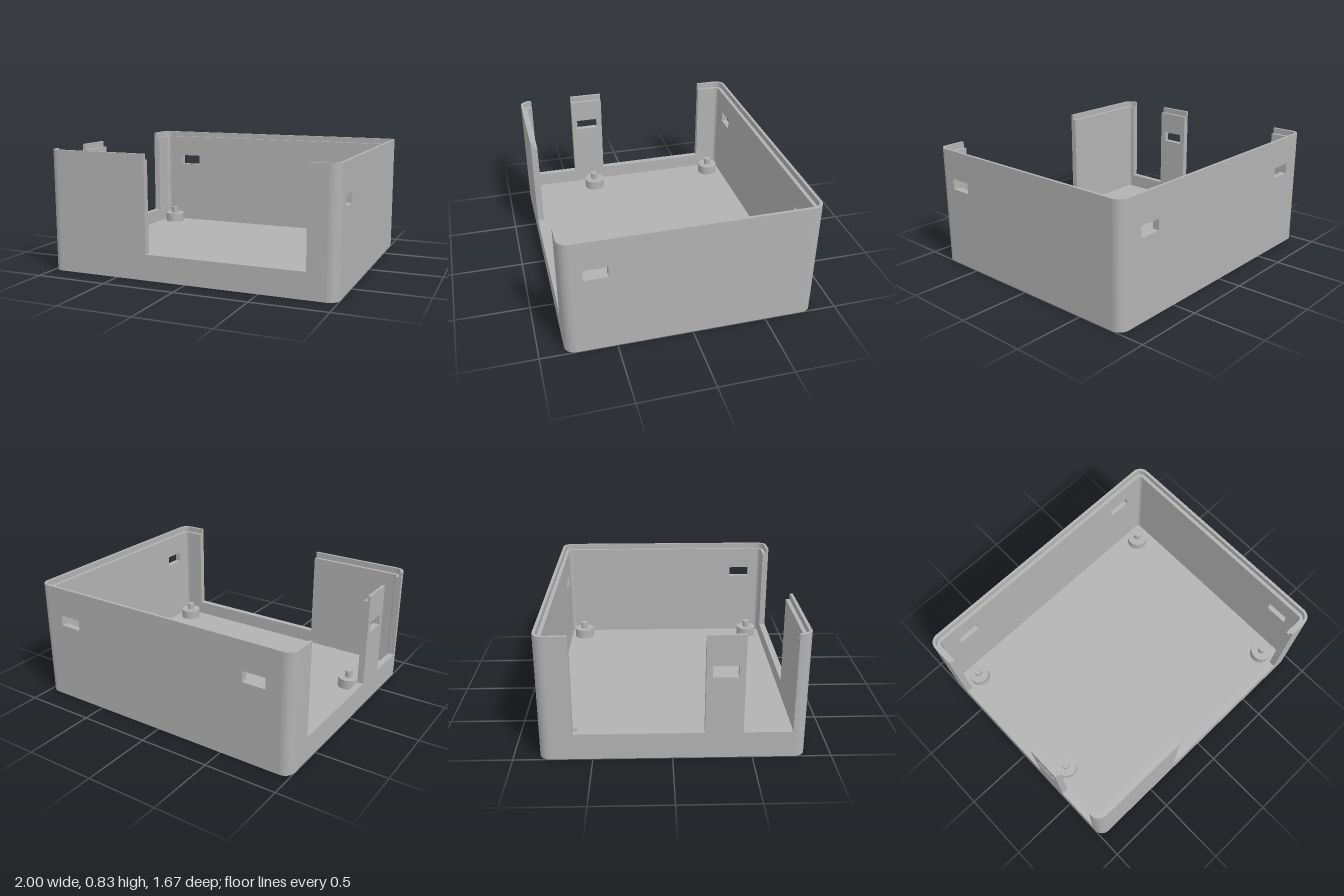
import * as THREE from 'three';
import { toCreasedNormals } from 'three/addons/utils/BufferGeometryUtils.js';

const HX = 1, HZ = 0.835, R = 0.07;            // half width, half depth, corner radius
const WALL = 0.045, LIP = 0.02;                // full and lip thickness
const FLOOR = 0.075, SILL = 0.175, LEDGE = 0.79, TOP = 0.83;
const SLOT_LOW = 0.555, SLOT_HIGH = 0.63;

export function createModel() {
  const model = new THREE.Group();
  model.name = 'openEnclosure';
  const grey = new THREE.MeshStandardMaterial({ color: 0xb2b2b2 });
  grey.name = 'grey plastic';

  const add = (parent, name, geometry, x = 0, y = 0, z = 0) => {
    const mesh = new THREE.Mesh(geometry, grey);
    mesh.name = name;
    mesh.position.set(x, y, z);
    parent.add(mesh);
    return mesh;
  };

  // Floor plate
  add(model, 'floor', new THREE.BoxGeometry(2 * (HX - WALL), FLOOR, 2 * (HZ - WALL)), 0, FLOOR / 2, 0);

  // Straight wall facing local +z, with open notches, small slots and a thin outer lip
  function addWall(name, half, distance, angle, notches, slots) {
    const wall = new THREE.Group();
    wall.name = name;
    wall.rotation.y = angle;
    model.add(wall);

    const outline = new THREE.Shape();
    outline.moveTo(half, 0);
    outline.lineTo(half, LEDGE);
    for (const [a, b] of [...notches].reverse()) {
      outline.lineTo(b, LEDGE);
      outline.lineTo(b, SILL);
      outline.lineTo(a, SILL);
      outline.lineTo(a, LEDGE);
    }
    outline.lineTo(-half, LEDGE);
    outline.lineTo(-half, 0);
    outline.closePath();
    for (const [a, b] of slots) {
      outline.holes.push(new THREE.Path([
        new THREE.Vector2(a, SLOT_LOW), new THREE.Vector2(a, SLOT_HIGH),
        new THREE.Vector2(b, SLOT_HIGH), new THREE.Vector2(b, SLOT_LOW),
      ]));
    }
    const panel = new THREE.ExtrudeGeometry(outline, { depth: WALL, bevelEnabled: false });
    add(wall, name + 'Panel', panel, 0, 0, distance - WALL);

    // Lip runs between the notches
    const ends = [-half, ...notches.flat(), half];
    for (let i = 0; i < ends.length; i += 2) {
      const a = ends[i], b = ends[i + 1];
      add(wall, name + 'Lip', new THREE.BoxGeometry(b - a, TOP - LEDGE, LIP),
        (a + b) / 2, (TOP + LEDGE) / 2, distance - LIP / 2);
    }
  }

  const hx = HX - R, hz = HZ - R;
  addWall('frontWall', hx, HZ, 0, [[-0.28, 0.805]], []);
  addWall('leftWall', hz, HX, Math.PI / 2, [], [[-0.695, -0.54]]);
  addWall('backWall', hx, HZ, Math.PI, [], [[-0.82, -0.66], [0.66, 0.82]]);
  addWall('rightWall', hz, HX, -Math.PI / 2, [[-0.62, 0.2], [0.44, 0.75]], [[0.24, 0.4]]);

  // Rounded corners: quarter rings, thinner at the lip
  function quarterRing(thickness, height) {
    const shape = new THREE.Shape();
    shape.absarc(0, 0, R, 0, Math.PI / 2, false);
    shape.absarc(0, 0, R - thickness, Math.PI / 2, 0, true);
    shape.closePath();
    const g = new THREE.ExtrudeGeometry(shape, { depth: height, bevelEnabled: false, curveSegments: 10 });
    g.rotateX(-Math.PI / 2);
    return toCreasedNormals(g, 0.6);
  }
  const cornerBody = quarterRing(WALL, LEDGE);
  const cornerLip = quarterRing(LIP, TOP - LEDGE);
  [[1, -1], [-1, -1], [-1, 1], [1, 1]].forEach(([sx, sz], i) => {
    add(model, 'corner', cornerBody, sx * hx, 0, sz * hz).rotation.y = i * Math.PI / 2;
    add(model, 'cornerLip', cornerLip, sx * hx, LEDGE, sz * hz).rotation.y = i * Math.PI / 2;
  });

  // Board standoffs with locating pins
  const post = new THREE.CylinderGeometry(0.075, 0.075, 0.07, 40);
  const pin = new THREE.CylinderGeometry(0.026, 0.026, 0.05, 28);
  for (const [x, z] of [[-0.845, -0.685], [0.84, -0.685], [-0.845, 0.3], [0.84, 0.68]]) {
    add(model, 'standoff', post, x, FLOOR + 0.035, z);
    add(model, 'standoffPin', pin, x, FLOOR + 0.095, z);
  }
  return model;
}
